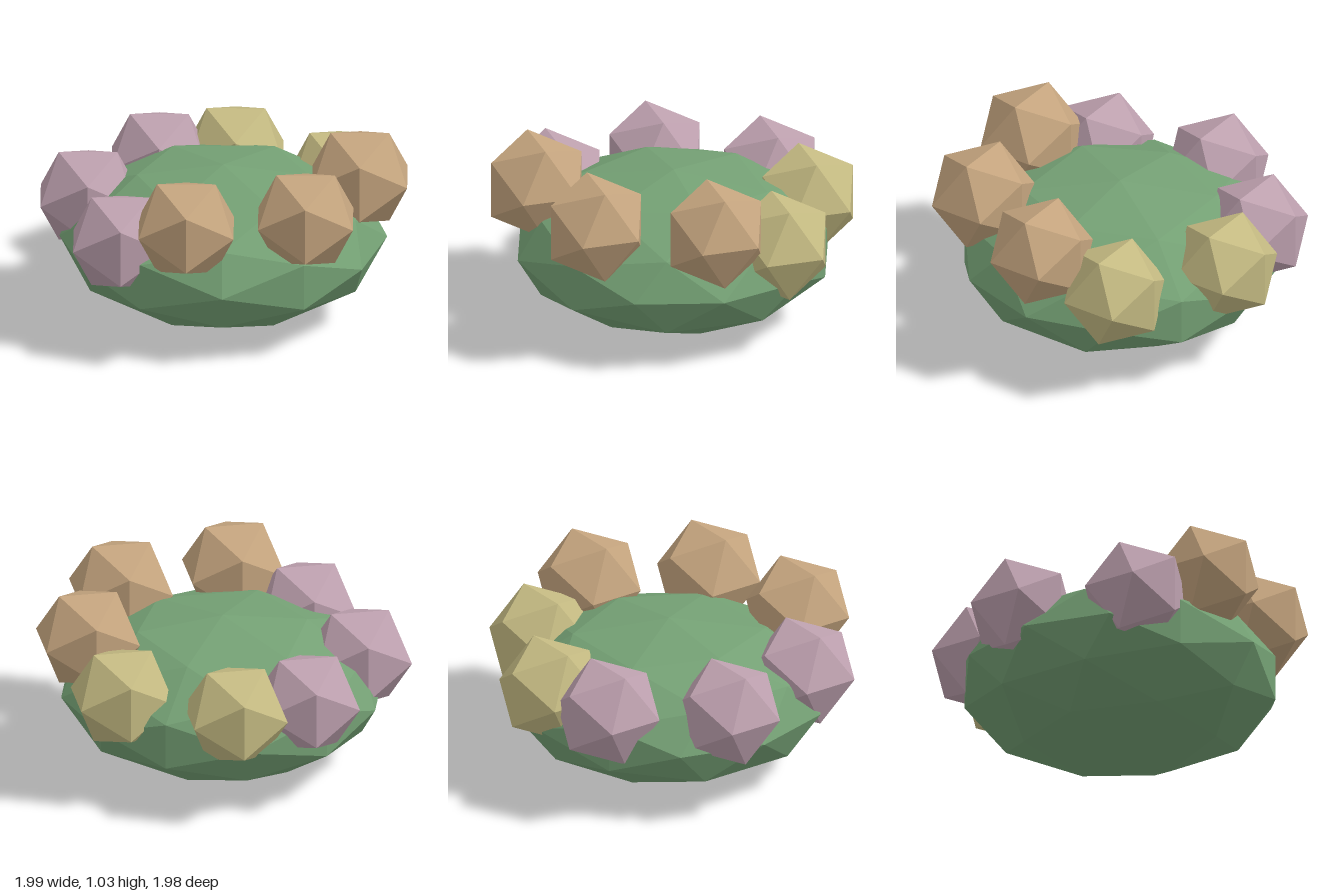
import * as THREE from 'three';

const material = (color) => new THREE.MeshStandardMaterial({ color, flatShading: true });

export function createModel() {
  const model = new THREE.Group();
  model.name = 'mound';

  // Squashed faceted body
  const body = new THREE.Mesh(new THREE.IcosahedronGeometry(1, 1), material(0x74a074));
  body.name = 'body';
  body.scale.set(0.89, 0.42, 0.89);
  body.position.set(-0.005, 0.42, 0.01);
  model.add(body);

  // Ring of faceted lumps, grouped by colour: [x, z] centres at one height
  const lump = new THREE.IcosahedronGeometry(0.303, 0);
  const sets = [
    { name: 'brownLump', color: 0xc4a47e, y: 0.77, at: [[0.737, 0.01], [0.447, 0.6], [-0.2, 0.73]] },
    { name: 'pinkLump', color: 0xbda0ae, y: 0.597, at: [[-0.557, 0.51], [-0.74, -0.12], [-0.357, -0.65]] },
    { name: 'yellowLump', color: 0xc4ba82, y: 0.597, at: [[0.057, -0.735], [0.62, -0.397]] },
  ];
  for (const { name, color, y, at } of sets) {
    const mat = material(color);
    at.forEach(([x, z], i) => {
      const mesh = new THREE.Mesh(lump, mat);
      mesh.name = `${name}${i + 1}`;
      mesh.position.set(x, y, z);
      model.add(mesh);
    });
  }
  return model;
}
